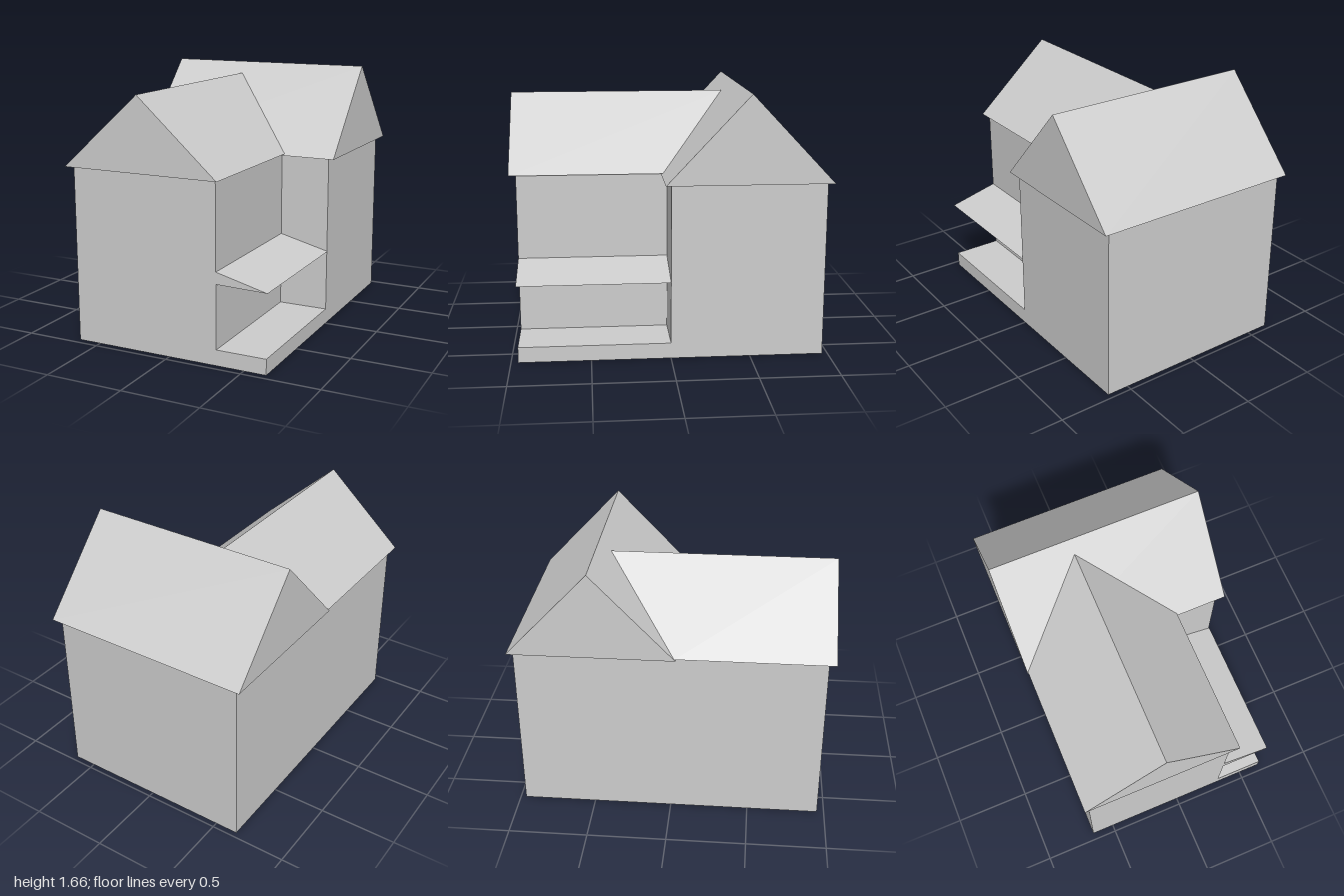
import * as THREE from 'three';

const plaster = new THREE.MeshStandardMaterial({ color: 0xcccccc, side: THREE.DoubleSide });
plaster.name = 'light grey';

// One mesh made of flat convex faces, corners counter-clockwise seen from outside
function panels(name, ...faces) {
  const pos = [];
  for (const f of faces)
    for (let i = 1; i < f.length - 1; i++) pos.push(...f[0], ...f[i], ...f[i + 1]);
  const geo = new THREE.BufferGeometry();
  geo.setAttribute('position', new THREE.Float32BufferAttribute(pos, 3));
  geo.computeVertexNormals();
  const mesh = new THREE.Mesh(geo, plaster);
  mesh.name = name;
  return mesh;
}

// Upright wall between two ground points, outside on the right of a -> b
const wall = ([ax, az], [bx, bz], y0, y1) =>
  [[ax, y0, az], [bx, y0, bz], [bx, y1, bz], [ax, y1, az]];

export function createModel() {
  const house = new THREE.Group();
  house.name = 'house';

  // Plan lines: outer sides, inner corner of the wing, front and back
  const L = -0.65, R = 0.645, M = 0.32, F = 0.955, B = -0.965;
  const mainTop = 1.115, wingTop = 1.125, porchY = 0.1;

  // Hollow walls, open at the bottom
  house.add(panels('mainWalls',
    wall([R, 0], [R, B], 0, mainTop),
    wall([R, B], [L, B], 0, mainTop),
    wall([L, B], [L, 0], 0, mainTop),
    wall([M, 0], [R, 0], porchY, mainTop)));
  house.add(panels('wingWalls',
    wall([L, 0], [L, F], 0, wingTop),
    wall([L, F], [M, F], 0, wingTop),
    wall([M, F], [M, 0], porchY, wingTop)));

  // Porch step with its rim
  house.add(panels('porchFloor',
    [[M, porchY, F], [R, porchY, F], [R, porchY, 0], [M, porchY, 0]],
    wall([M, F], [R, F], 0, porchY),
    wall([R, F], [R, 0], 0, porchY)));

  // Lean-to porch roof with its front gusset
  const topIn = 0.58, topOut = 0.497, px = 0.65;
  house.add(panels('porchRoof',
    [[M, topIn, F], [px, topOut, F], [px, topOut, 0], [M, topIn, 0]],
    [[M, 0.505, F], [px, topOut, F], [M, topIn, F]]));

  // Main gable roof, ridge along x
  const x = 0.69, ridge = 1.665, zr = -0.48, zf = 0.037, zb = -1;
  house.add(panels('mainRoof',
    [[-x, mainTop, zf], [x, mainTop, zf], [x, ridge, zr], [-x, ridge, zr]],
    [[x, mainTop, zb], [-x, mainTop, zb], [-x, ridge, zr], [x, ridge, zr]],
    [[x, mainTop, zf], [x, mainTop, zb], [x, ridge, zr]],
    [[-x, mainTop, zb], [-x, mainTop, zf], [-x, ridge, zr]],
    [[-x, mainTop, zb], [x, mainTop, zb], [x, mainTop, zf], [-x, mainTop, zf]]));

  // Wing gable roof, ridge along z, cut where it meets the main roof
  const l = -0.685, r = 0.35, xr = -0.167, wr = 1.59, ze = 0.028, zv = -0.41;
  house.add(panels('wingRoof',
    [[l, wingTop, 1], [r, wingTop, 1], [xr, wr, 1]],
    [[r, wingTop, 1], [r, wingTop, ze], [xr, wr, zv], [xr, wr, 1]],
    [[l, wingTop, ze], [l, wingTop, 1], [xr, wr, 1], [xr, wr, zv]],
    [[l, wingTop, ze], [r, wingTop, ze], [r, wingTop, 1], [l, wingTop, 1]]));

  return house;
}
